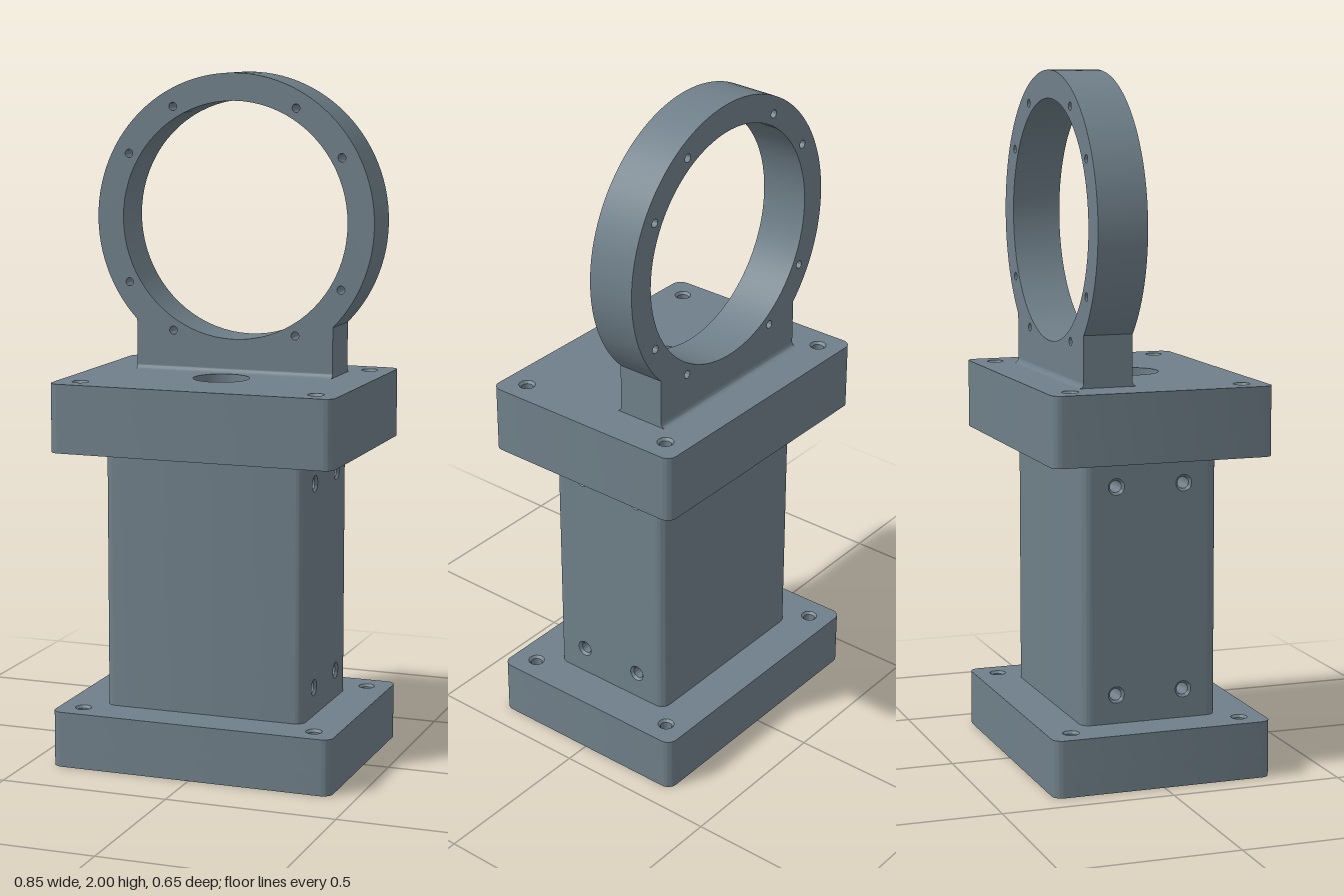
import * as THREE from 'three';
import { toCreasedNormals } from 'three/addons/utils/BufferGeometryUtils.js';

const PLATE = { x: 0.426, z: 0.325, r: 0.03 };
const COLUMN = { x: 0.304, z: 0.203, r: 0.03 };
const BASE_TOP = 0.164, COLUMN_TOP = 0.928, PLATE_TOP = 1.128;
const RECESS = 0.065, BORE = 0.1;
const RING = { y: 1.574, outer: 0.426, inner: 0.346, back: -0.197, front: -0.053 };
const HOLE_OUTER = 0.024, HOLE_INNER = 0.017;

const steel = new THREE.MeshStandardMaterial({ color: 0x6f7f89 });
steel.name = 'blue grey steel';

function circle(x, y, r) {
  return new THREE.Path().absarc(x, y, r, 0, Math.PI * 2, false);
}

function roundedRect(x, y, r) {
  const s = new THREE.Shape();
  const q = Math.PI / 2;
  s.absarc(x - r, y - r, r, 0, q, false);
  s.absarc(-x + r, y - r, r, q, 2 * q, false);
  s.absarc(-x + r, -y + r, r, 2 * q, 3 * q, false);
  s.absarc(x - r, -y + r, r, 3 * q, 4 * q, false);
  s.closePath();
  return s;
}

function extrude(shape, depth, curveSegments = 24) {
  return new THREE.ExtrudeGeometry(shape, { depth, bevelEnabled: false, curveSegments });
}

function mesh(name, geometry) {
  const m = new THREE.Mesh(toCreasedNormals(geometry, 0.5), steel);
  m.name = name;
  return m;
}

// Slab standing from y0 to y1, with its outline in plan (shape y = -z)
function slab(name, shape, y0, y1) {
  return mesh(name, extrude(shape, y1 - y0).rotateX(-Math.PI / 2).translate(0, y0, 0));
}

// Chamfered wall of a drilled hole; its mouth is at local y = 0
function holeWall(name, depth) {
  const points = [[HOLE_OUTER, 0], [HOLE_INNER, -0.007], [HOLE_INNER, -depth], [HOLE_OUTER, -depth]];
  return mesh(name, new THREE.LatheGeometry(points.map(p => new THREE.Vector2(...p)), 48));
}

const corners = [[1, 1], [-1, 1], [-1, -1], [1, -1]].map(([a, b]) => [a * 0.355, b * 0.254]);

function plateShape(...holes) {
  const s = roundedRect(PLATE.x, PLATE.z, PLATE.r);
  for (const [x, z] of corners) s.holes.push(circle(x, z, HOLE_OUTER));
  s.holes.push(...holes);
  return s;
}

function addCornerHoles(group, top, depth) {
  for (const [x, z] of corners) {
    const wall = holeWall('cornerHole', depth);
    wall.position.set(x, top, z);
    group.add(wall);
  }
}

// Base plate with a round recess and a circle of bolt holes underneath
function createBase() {
  const g = new THREE.Group();
  g.name = 'basePlate';
  const boltHoles = [];
  for (let i = 0; i < 20; i++) {
    if ([2, 8, 12, 18].includes(i)) continue; // none towards the corners
    const a = i * Math.PI / 10;
    boltHoles.push(circle(Math.cos(a) * 0.279, Math.sin(a) * 0.279, 0.012));
  }
  g.add(slab('baseLower', plateShape(circle(0, 0, 0.246), ...boltHoles), 0, RECESS));
  g.add(slab('baseUpper', plateShape(circle(0, 0, BORE)), RECESS, BASE_TOP));
  addCornerHoles(g, BASE_TOP, BASE_TOP);
  return g;
}

// Bored column whose two side panels carry blind screw holes
function createColumn() {
  const g = new THREE.Group();
  g.name = 'column';
  const { x, z, r } = COLUMN, q = Math.PI / 2, depth = 0.1;
  const n = x - depth, w = z - r;
  const s = new THREE.Shape();
  s.moveTo(n, -w);
  s.lineTo(n, w);
  s.absarc(x - r, w, r, 0, q, false);
  s.absarc(-x + r, w, r, q, 2 * q, false);
  s.lineTo(-n, w);
  s.lineTo(-n, -w);
  s.absarc(-x + r, -w, r, 2 * q, 3 * q, false);
  s.absarc(x - r, -w, r, 3 * q, 4 * q, false);
  s.closePath();
  s.holes.push(circle(0, 0, BORE));
  g.add(slab('columnCore', s, BASE_TOP, COLUMN_TOP));

  const screws = [-0.101, 0.101].flatMap(u => [0.247, 0.846].map(v => [u, v]));
  const panel = new THREE.Shape([[-w, BASE_TOP], [w, BASE_TOP], [w, COLUMN_TOP], [-w, COLUMN_TOP]]
    .map(p => new THREE.Vector2(...p)));
  for (const [u, v] of screws) panel.holes.push(circle(u, v, HOLE_OUTER));
  for (const side of [1, -1]) {
    g.add(mesh('sidePanel', extrude(panel, depth).translate(0, 0, n).rotateY(side * q)));
    for (const [u, v] of screws) {
      const wall = holeWall('screwHole', depth);
      wall.rotation.z = -side * q;
      wall.position.set(side * x, v, u);
      g.add(wall);
    }
  }
  return g;
}

// Upper plate with an off-centre cable hole
function createTopPlate() {
  const g = new THREE.Group();
  g.name = 'topPlate';
  g.add(slab('topSlab', plateShape(circle(0, -0.05, 0.082)), COLUMN_TOP, PLATE_TOP));
  addCornerHoles(g, PLATE_TOP, PLATE_TOP - COLUMN_TOP);
  return g;
}

// Upright ring on a neck, with eight holes and filleted foot
function createRing() {
  const g = new THREE.Group();
  g.name = 'ringMount';
  const w = COLUMN.x;
  const a = Math.acos(w / RING.outer);
  const s = new THREE.Shape();
  s.moveTo(-w, PLATE_TOP);
  s.lineTo(w, PLATE_TOP);
  s.absarc(0, RING.y, RING.outer, -a, Math.PI + a, false);
  s.closePath();
  s.holes.push(circle(0, RING.y, RING.inner));
  for (let i = 0; i < 12; i++) {
    if (i % 3 === 0) continue;
    const t = i * Math.PI / 6;
    s.holes.push(circle(Math.cos(t) * 0.378, RING.y + Math.sin(t) * 0.378, 0.012));
  }
  g.add(mesh('ring', extrude(s, RING.front - RING.back, 40).translate(0, 0, RING.back)));

  const f = 0.014;
  const fillet = new THREE.Shape();
  fillet.moveTo(0, 0);
  fillet.lineTo(f, 0);
  fillet.absarc(f, f, f, -Math.PI / 2, -Math.PI, true);
  fillet.closePath();
  for (const [z, side] of [[RING.front, 1], [RING.back, -1]]) {
    const geo = extrude(fillet, 2 * w, 6).translate(0, 0, -w).rotateY(-side * Math.PI / 2);
    g.add(mesh('footFillet', geo.translate(0, PLATE_TOP, z)));
  }
  return g;
}

export function createModel() {
  const model = new THREE.Group();
  model.name = 'ringStand';
  model.add(createBase(), createColumn(), createTopPlate(), createRing());
  return model;
}
